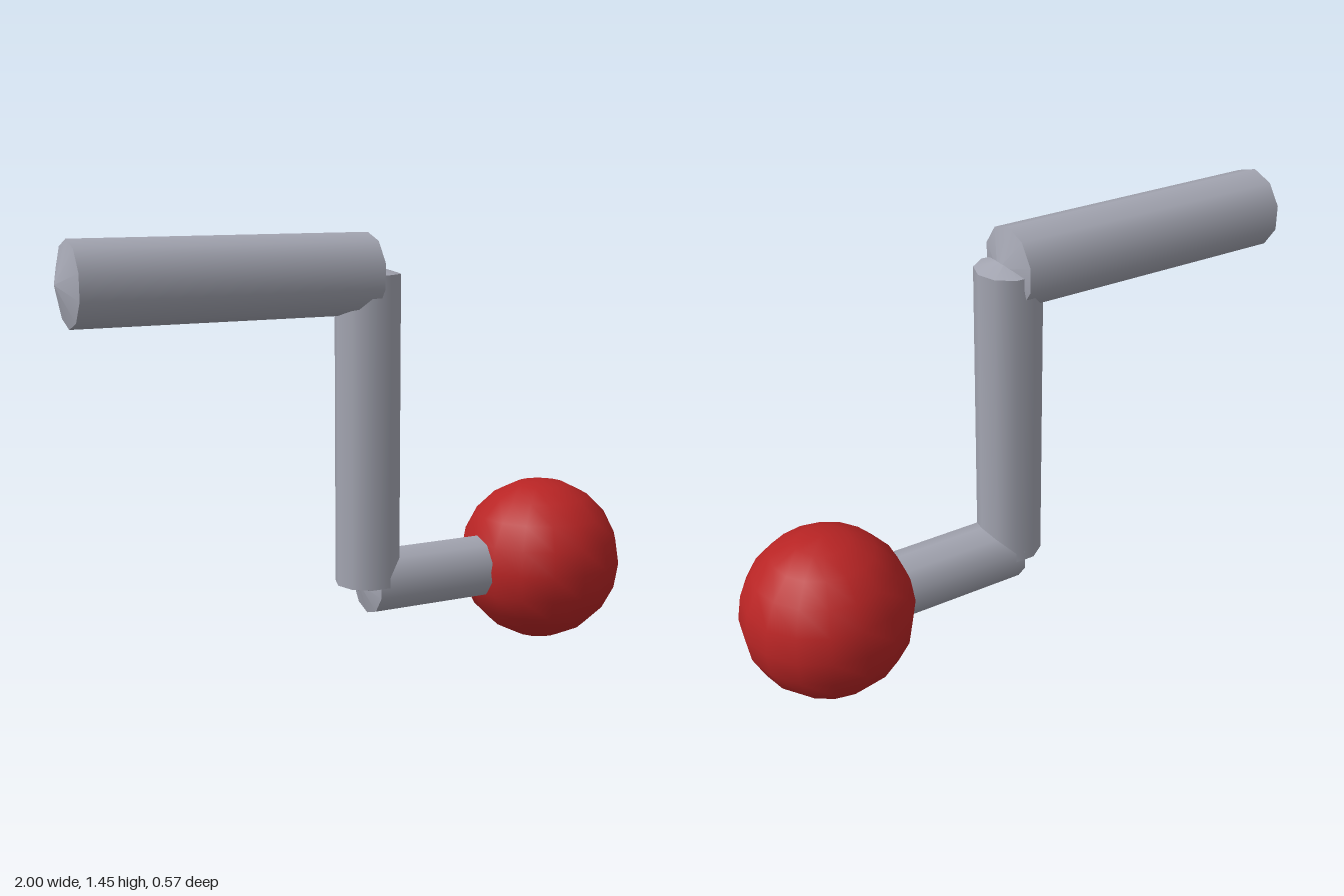
import * as THREE from 'three';

const SIDES = 10;

// Ten-sided rod centred on its own y axis, closed by shallow cone caps
function makeRod(name, radius, length, material) {
  const rod = new THREE.Group();
  rod.name = name;
  const barrel = new THREE.Mesh(new THREE.CylinderGeometry(radius, radius, length, SIDES, 1, true), material);
  barrel.name = name + 'Barrel';
  barrel.rotation.y = Math.PI / 2;
  rod.add(barrel);

  const capDepth = radius * 0.3;
  for (const end of [1, -1]) {
    const cap = new THREE.Mesh(new THREE.ConeGeometry(radius, capDepth, SIDES, 1, true), material);
    cap.name = name + (end > 0 ? 'EndCap' : 'StartCap');
    cap.geometry.rotateY(Math.PI / 2);
    if (end < 0) cap.geometry.rotateX(Math.PI);
    cap.position.y = end * (length + capDepth) / 2;
    rod.add(cap);
  }
  return rod;
}

export function createModel() {
  const steel = new THREE.MeshStandardMaterial({ color: 0xa3a5b1 });
  steel.name = 'steel grey';
  const red = new THREE.MeshStandardMaterial({ color: 0xb82424 });
  red.name = 'red';

  const model = new THREE.Group();
  model.name = 'crankHandle';
  const crankX = 0.024, axleY = 0.286, gripY = 1.322, ballX = 0.715;

  // Thick upper grip, pointing to the right side
  const grip = makeRod('grip', 0.133, 0.984, steel);
  grip.rotation.z = Math.PI / 2;
  grip.position.set(crankX - 0.492, gripY, 0);

  // Upright crank arm
  const arm = makeRod('crankArm', 0.109, gripY - axleY, steel);
  arm.position.set(crankX, (gripY + axleY) / 2, 0);

  // Lower axle running into the ball
  const axle = makeRod('axle', 0.109, ballX - crankX, steel);
  axle.rotation.z = Math.PI / 2;
  axle.position.set((crankX + ballX) / 2, axleY, 0);

  // Ball at the end of the axle
  const ball = new THREE.Mesh(new THREE.SphereGeometry(0.285, 16, 10), red);
  ball.name = 'ball';
  ball.position.set(ballX, axleY, 0);

  model.add(grip, arm, axle, ball);
  return model;
}
